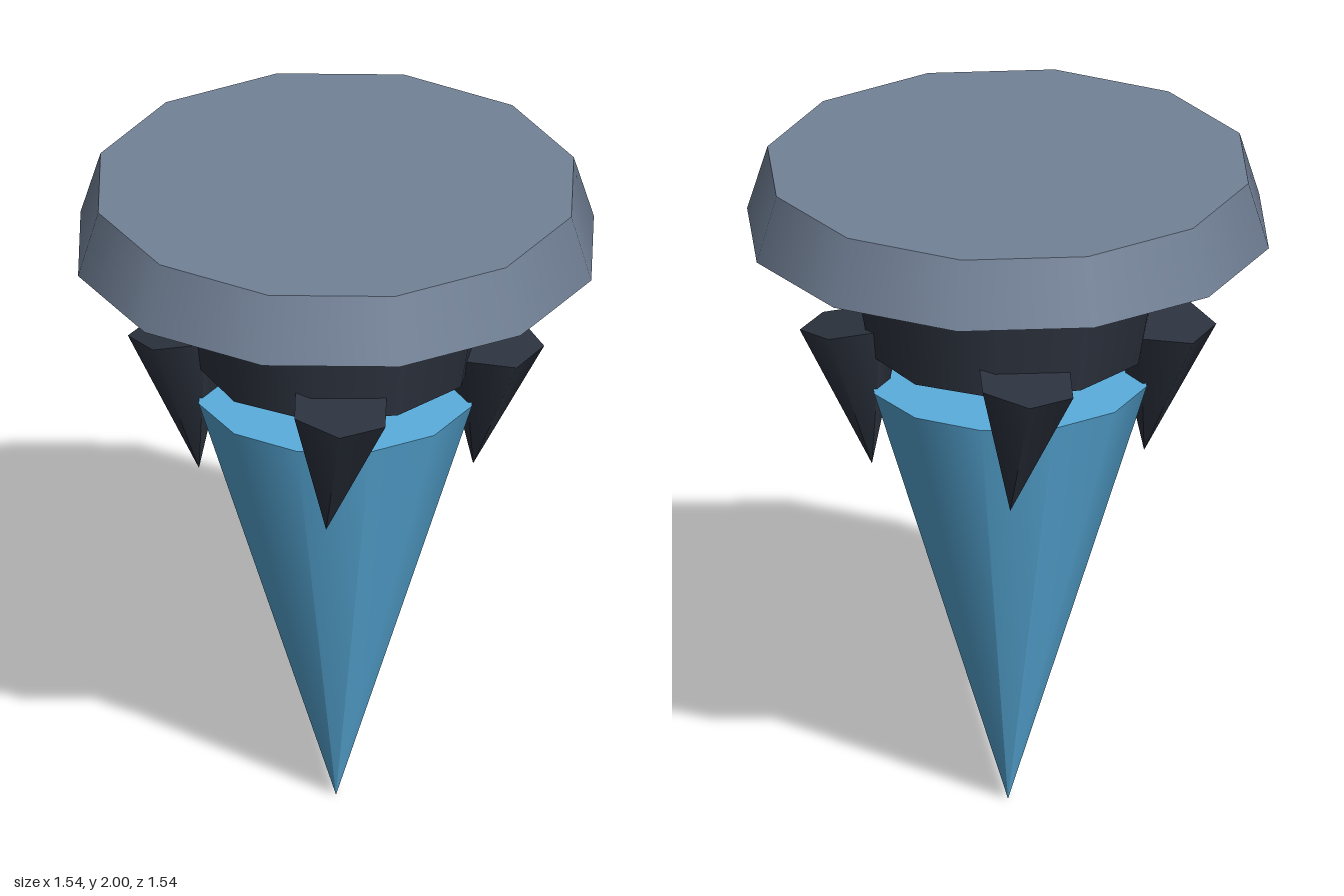
import * as THREE from 'three';

const paint = (name, color) => {
  const m = new THREE.MeshStandardMaterial({ color });
  m.name = name;
  return m;
};

export function createModel() {
  const slate = paint('slate', 0x738298);
  const charcoal = paint('charcoal', 0x2d333f);
  const blue = paint('crystalBlue', 0x5aaede);
  const model = new THREE.Group();
  model.name = 'spikedPendant';

  // Upright tapered drum spanning y0..y1
  const drum = (name, rTop, rBottom, y0, y1, sides, material) => {
    const mesh = new THREE.Mesh(
      new THREE.CylinderGeometry(rTop, rBottom, y1 - y0, sides), material);
    mesh.name = name;
    mesh.position.y = (y0 + y1) / 2;
    model.add(mesh);
  };

  drum('capDisc', 0.71, 0.77, 1.8, 2, 12, slate);
  drum('collar', 0.475, 0.41, 1.44, 1.8, 10, charcoal);
  drum('crystalSpike', 0.41, 0, 0, 1.335, 12, blue);

  // Four six-sided claws on the diagonals, points down, tops leaning outward
  for (const sx of [-1, 1]) {
    for (const sz of [-1, 1]) {
      const geometry = new THREE.CylinderGeometry(0.153, 0, 0.435, 6);
      geometry.rotateY(Math.atan2(sx, sz)); // one corner faces outward
      const claw = new THREE.Mesh(geometry, charcoal);
      claw.name = `claw${sz > 0 ? 'Front' : 'Back'}${sx > 0 ? 'Left' : 'Right'}`;
      claw.position.set(0.3 * sx, 1.294, 0.3 * sz);
      claw.rotation.set(0.02 * sz, 0, -0.16 * sx);
      model.add(claw);
    }
  }
  return model;
}
